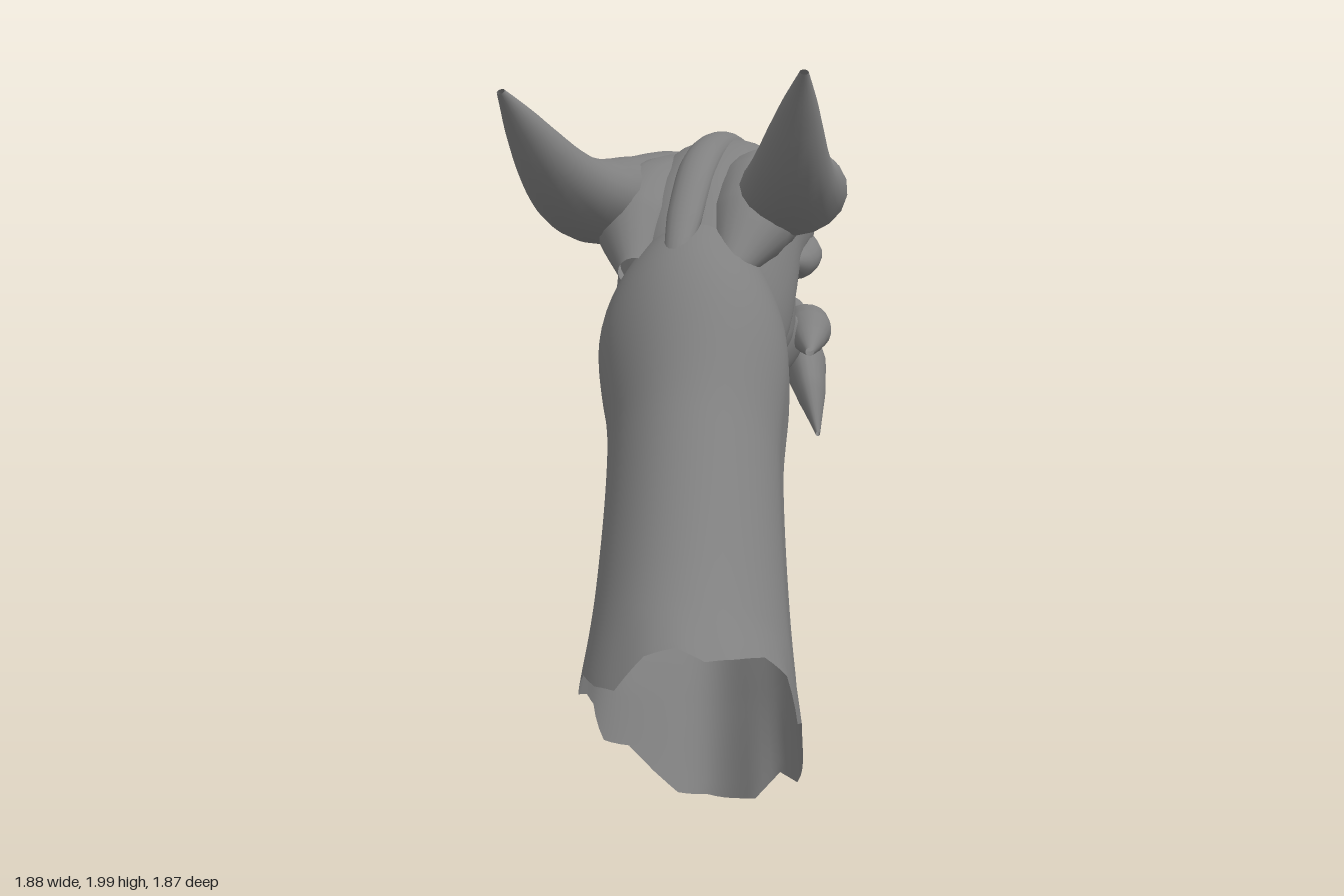
import * as THREE from 'three';
import { mergeVertices } from 'three/addons/utils/BufferGeometryUtils.js';

const V = (x, y, z) => new THREE.Vector3(x, y, z);
const mat = new THREE.MeshStandardMaterial({ color: 0x808080, side: THREE.DoubleSide });
const spline = (pts) => new THREE.CatmullRomCurve3(pts, false, 'catmullrom', 0.5);
const spow = (v, e) => Math.sign(v) * Math.abs(v) ** e;

// Smooth skin through closed rings of points
function loft(name, rings) {
  const n = rings[0].length, idx = [];
  for (let i = 0; i < rings.length - 1; i++)
    for (let j = 0; j < n; j++) {
      const a = i * n + j, b = i * n + (j + 1) % n;
      idx.push(a, b, a + n, b, b + n, a + n);
    }
  const g = new THREE.BufferGeometry().setFromPoints(rings.flat());
  g.setIndex(idx);
  g.computeVertexNormals();
  const m = new THREE.Mesh(g, mat);
  m.name = name;
  return m;
}

// Head masses: rows of [z, half width, top, bottom], with section exponents and seam height
function body(name, rows, { mid = 0.4, topPow = 1.1, botPow = 0.8, steps = 40, n = 36 } = {}) {
  const heights = spline(rows.map(r => V(r[0], r[2], r[3])));
  const widths = spline(rows.map(r => V(r[0], r[1], 0)));
  const rings = [];
  for (let i = 0; i <= steps; i++) {
    const h = heights.getPoint(i / steps), w = Math.max(widths.getPoint(i / steps).y, 0.004);
    const m = h.z + (h.y - h.z) * mid, ring = [];
    for (let j = 0; j < n; j++) {
      const a = j / n * Math.PI * 2, s = Math.sin(a);
      const y = s > 0 ? m + (h.y - m) * s ** topPow : m - (m - h.z) * (-s) ** botPow;
      ring.push(V(w * spow(Math.cos(a), 0.85), y, h.x));
    }
    rings.push(ring);
  }
  return loft(name, rings);
}

// Tapered tube with a rounded root, radii spread along its length, flattened in width or height
function horn(name, pts, radii, wide = 1, tall = 1, side = 1) {
  const curve = spline(pts.map(p => V(p[0] * side, p[1], p[2])));
  const N = 44, M = 18;
  const g = new THREE.TubeGeometry(curve, N, 1, M), p = g.attributes.position;
  for (let i = 0; i <= N; i++) {
    const u = i / N, c = curve.getPointAt(u), f = u * (radii.length - 1);
    const k = Math.min(Math.floor(f), radii.length - 2);
    const r = THREE.MathUtils.lerp(radii[k], radii[k + 1], f - k) * Math.sqrt(Math.min(1, u * 11));
    for (let j = 0; j <= M; j++) {
      const q = i * (M + 1) + j;
      p.setXYZ(q, c.x + (p.getX(q) - c.x) * r * wide, c.y + (p.getY(q) - c.y) * r * tall, c.z + (p.getZ(q) - c.z) * r);
    }
  }
  g.deleteAttribute('uv');
  g.deleteAttribute('normal');
  const merged = mergeVertices(g, 1e-5);
  merged.computeVertexNormals();
  const m = new THREE.Mesh(merged, mat);
  m.name = name;
  return m;
}

// Neck skinned between a nape line and a throat line, ending in a torn rim
function makeNeck() {
  const nape = spline([V(0, 1.62, -0.2), V(0, 1.48, 0.28), V(0, 1.1, 0.62), V(0, 0.76, 0.95), V(0, 0.56, 1.2)]);
  const throat = spline([V(0, 1.05, -0.4), V(0, 0.86, 0.03), V(0, 0.68, 0.2), V(0, 0.36, 0.43), V(0, 0.03, 0.61)]);
  const sides = spline([V(-0.07, 0.12, 0), V(-0.05, 0.275, 0), V(-0.01, 0.25, 0), V(0.025, 0.265, 0), V(0.05, 0.3, 0)]);
  const steps = 48, n = 72, rings = [];
  // rim offsets, counted from the left side over the nape
  const tear = [-0.02, 0.03, -0.06, -0.07, -0.03, 0.0, -0.03, -0.01, 0.07, 0.03, -0.04, -0.03,
    -0.08, -0.1, -0.04, -0.06, -0.01, 0.03, 0.02, 0.04, 0.06, 0.0, 0.06, 0.04];
  const along = V(0, -0.72, 0.69);
  for (let i = 0; i <= steps; i++) {
    const u = i / steps, up = nape.getPoint(u), lo = throat.getPoint(u), w = sides.getPoint(u);
    const c = up.clone().add(lo).multiplyScalar(0.5), h = up.clone().sub(lo).multiplyScalar(0.5), ring = [];
    for (let j = 0; j < n; j++) {
      const a = j / n * Math.PI * 2, s = Math.sin(a), k = j / n * tear.length, t0 = Math.floor(k);
      const jag = THREE.MathUtils.lerp(tear[t0], tear[(t0 + 1) % tear.length], k - t0);
      // shallow tendon grooves along the throat side
      const fold = 1 + 0.035 * Math.cos(a * 6 + Math.PI) * (s < 0.2 ? 1 : 0.3) * Math.min(1, u * 2);
      const pt = c.clone().addScaledVector(h, s * (s < 0 ? fold : 1));
      pt.x = w.x + w.y * fold * Math.cos(a);
      pt.addScaledVector(along, jag * Math.max(0, u - 0.85) / 0.15);
      ring.push(pt);
    }
    rings.push(ring);
  }
  return loft('neck', rings);
}

export function createModel() {
  const model = new THREE.Group();
  model.name = 'hornedHeadAndNeck';

  const neckGroup = new THREE.Group();
  neckGroup.name = 'neckGroup';
  neckGroup.rotation.y = Math.PI / 4;
  neckGroup.add(makeNeck());
  model.add(neckGroup);

  // Head turns and rolls slightly against the neck; it looks along its own -z
  const pivot = new THREE.Group(), head = new THREE.Group();
  pivot.name = 'headPivot';
  head.name = 'head';
  pivot.rotation.order = 'YXZ';
  pivot.rotation.set(0, 0.73, 0.065);
  pivot.position.set(-0.05, 1.4, 0.05);
  head.position.y = -1.4;
  pivot.add(head);
  model.add(pivot);

  head.add(body('skull', [
    [-1.23, 0.0, 1.5, 1.45], [-1.2, 0.1, 1.56, 1.42], [-1.11, 0.15, 1.61, 1.39], [-0.98, 0.19, 1.61, 1.35],
    [-0.82, 0.235, 1.66, 1.33], [-0.65, 0.25, 1.75, 1.31], [-0.4, 0.26, 1.765, 1.25], [-0.1, 0.265, 1.69, 1.05], [0.1, 0.22, 1.56, 1.0], [0.3, 0.08, 1.38, 1.1],
  ]));
  head.add(body('lowerJaw', [
    [-1.28, 0.0, 1.03, 1.0], [-1.25, 0.07, 1.11, 0.99], [-1.17, 0.12, 1.2, 1.01], [-1.02, 0.165, 1.19, 1.03],
    [-0.8, 0.215, 1.2, 1.01], [-0.55, 0.235, 1.22, 0.98], [-0.3, 0.23, 1.25, 0.95], [0, 0.2, 1.2, 0.92], [0.15, 0.05, 1.1, 1.0],
  ], { mid: 0.7, topPow: 0.6, botPow: 1.1 }));
  head.add(body('mouthCorner', [
    [-0.79, 0.0, 1.36, 1.14], [-0.76, 0.15, 1.38, 1.12], [-0.5, 0.21, 1.42, 1.1], [-0.2, 0.245, 1.47, 1.05], [0.1, 0.2, 1.4, 1.05],
  ], { mid: 0.5, topPow: 0.6, botPow: 0.6 }));
  head.add(horn('crownRidge', [[0, 1.58, -0.95], [0, 1.72, -0.7], [0, 1.745, -0.4], [0, 1.68, -0.1], [0, 1.5, 0.2], [0, 1.36, 0.32]],
    [0.03, 0.045, 0.045, 0.045, 0.04, 0.02], 1.3));
  head.add(horn('noseHorn', [[0, 1.5, -1.16], [0, 1.62, -1.08], [0, 1.72, -1.01]], [0.13, 0.07, 0.01]));

  for (const side of [1, -1]) {
    const add = (name, pts, radii, wide, tall) => head.add(horn((side > 0 ? 'left' : 'right') + name, pts, radii, wide, tall, side));
    // Large swept horn with a blunt, bulbous root
    add('Horn', [[0.17, 1.62, -0.83], [0.2, 1.62, -0.65], [0.255, 1.61, -0.35], [0.295, 1.62, -0.04], [0.34, 1.71, 0.2], [0.425, 1.96, 0.43]],
      [0.1, 0.11, 0.12, 0.125, 0.125, 0.13, 0.13, 0.125, 0.11, 0.09, 0.068, 0.042, 0.01], 1.25);
    // Swelling that joins the horn to the skull
    add('HornRoot', [[0.1, 1.58, -0.6], [0.15, 1.58, -0.3], [0.17, 1.54, -0.05], [0.14, 1.42, 0.18]], [0.13, 0.15, 0.15, 0.12, 0.05]);
    // Cheek fold running back from the upper lip
    add('CheekFold', [[0.08, 1.43, -1.16], [0.15, 1.41, -0.95], [0.2, 1.38, -0.72], [0.22, 1.37, -0.48], [0.22, 1.4, -0.2]],
      [0.04, 0.06, 0.08, 0.07, 0.02], 0.9, 0.75);
    add('BrowRidge', [[0.12, 1.55, -0.99], [0.21, 1.55, -0.82], [0.24, 1.51, -0.62], [0.24, 1.48, -0.35]], [0.03, 0.06, 0.05, 0.02], 1, 0.7);
    // Jaw barb pointing back and outward, chin spike pointing down
    add('JawBarb', [[0.17, 1.15, -0.8], [0.22, 1.15, -0.65], [0.26, 1.145, -0.42], [0.295, 1.12, -0.2]], [0.06, 0.08, 0.08, 0.055, 0.015], 0.9, 0.85);
    add('ChinSpike', [[0.13, 1.1, -0.9], [0.19, 1.06, -0.69], [0.24, 0.97, -0.5], [0.28, 0.84, -0.36]], [0.05, 0.1, 0.12, 0.08, 0.012], 0.55, 0.9);
    add('Nostril', [[0.05, 1.52, -1.19], [0.09, 1.55, -1.12], [0.12, 1.5, -1.02]], [0.03, 0.05, 0.01]);

    const eye = new THREE.Mesh(new THREE.SphereGeometry(0.03, 16, 12), mat);
    eye.name = side > 0 ? 'leftEye' : 'rightEye';
    eye.position.set(side * 0.23, 1.48, -0.74);
    head.add(eye);
  }
  return model;
}
